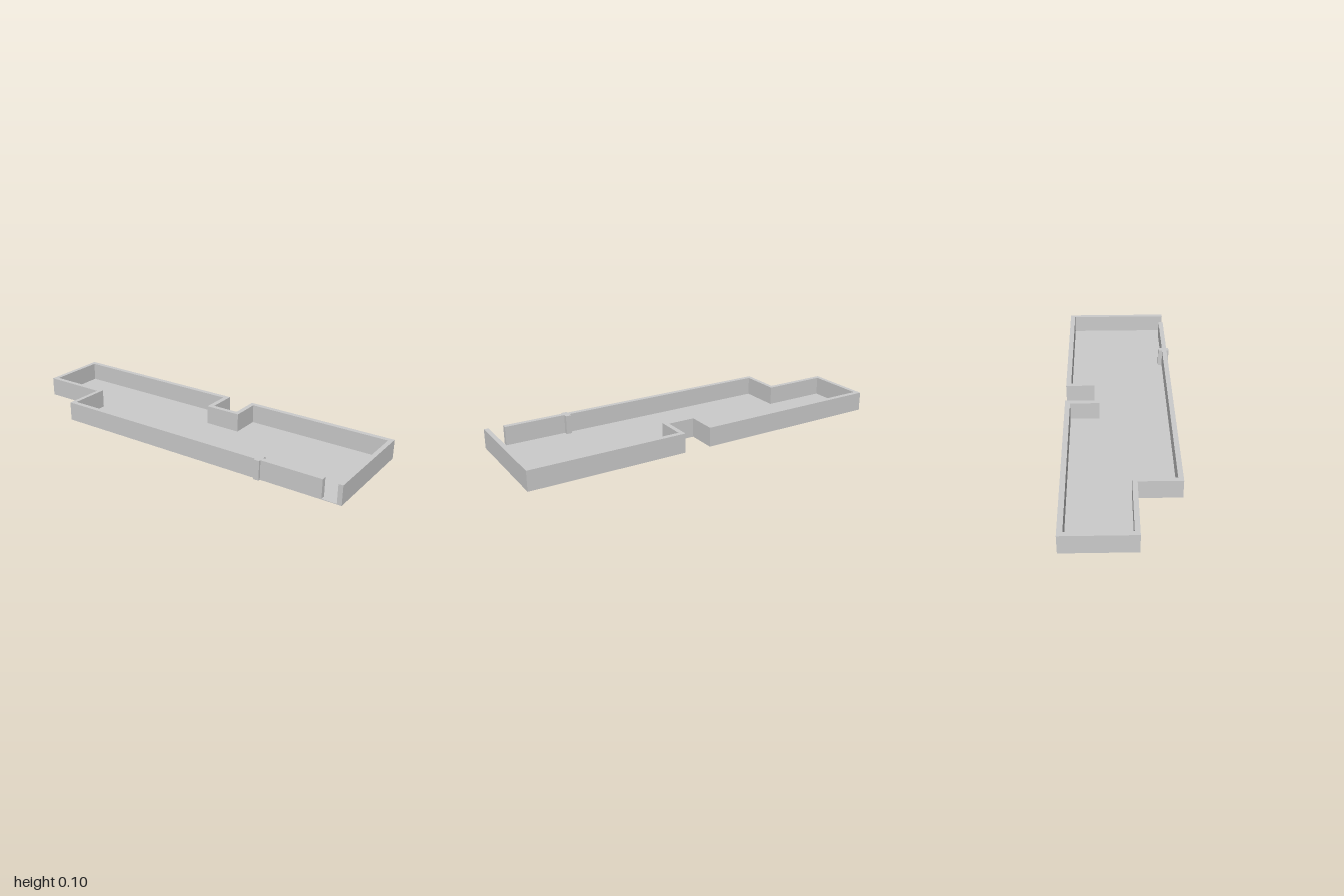
import * as THREE from 'three';

const HEIGHT = 0.103;
const FLOOR = 0.003;

// Outer outline as [x, z], from the doorway at the front round to the doorway again
const outer = [
  [-0.285, 1], [0.295, 1], [0.295, 0.172], [0.138, 0.172], [0.138, 0.027],
  [0.295, 0.027], [0.295, -1], [-0.068, -1], [-0.068, -0.647], [-0.285, -0.647],
];
// Inner wall line, running back the other way
const inner = [
  [-0.259, -0.624], [-0.043, -0.624], [-0.043, -0.976], [0.268, -0.976], [0.268, 0],
  [0.112, 0], [0.112, 0.197], [0.268, 0.197], [0.268, 0.976], [-0.285, 0.976],
];
// Ends of the left wall beside the doorway
const doorway = [[-0.285, 0.9], [-0.259, 0.9]];

// Extrude a plan outline upwards from the ground
function slab(name, points, height, material) {
  const shape = new THREE.Shape(points.map(([x, z]) => new THREE.Vector2(x, -z)));
  const geometry = new THREE.ExtrudeGeometry(shape, { depth: height, bevelEnabled: false });
  geometry.rotateX(-Math.PI / 2);
  const mesh = new THREE.Mesh(geometry, material);
  mesh.name = name;
  return mesh;
}

export function createModel() {
  const model = new THREE.Group();
  model.name = 'walledFloorPlan';
  const material = new THREE.MeshStandardMaterial({ color: 0xcccccc, flatShading: true });

  model.add(slab('floor', outer, FLOOR, material));
  model.add(slab('walls', [...outer, ...doorway, ...inner], HEIGHT, material));

  // Small post straddling the left-hand wall
  const post = new THREE.Mesh(new THREE.BoxGeometry(0.06, HEIGHT, 0.03), material);
  post.name = 'wallPost';
  post.position.set(-0.267, HEIGHT / 2, 0.562);
  model.add(post);

  return model;
}
